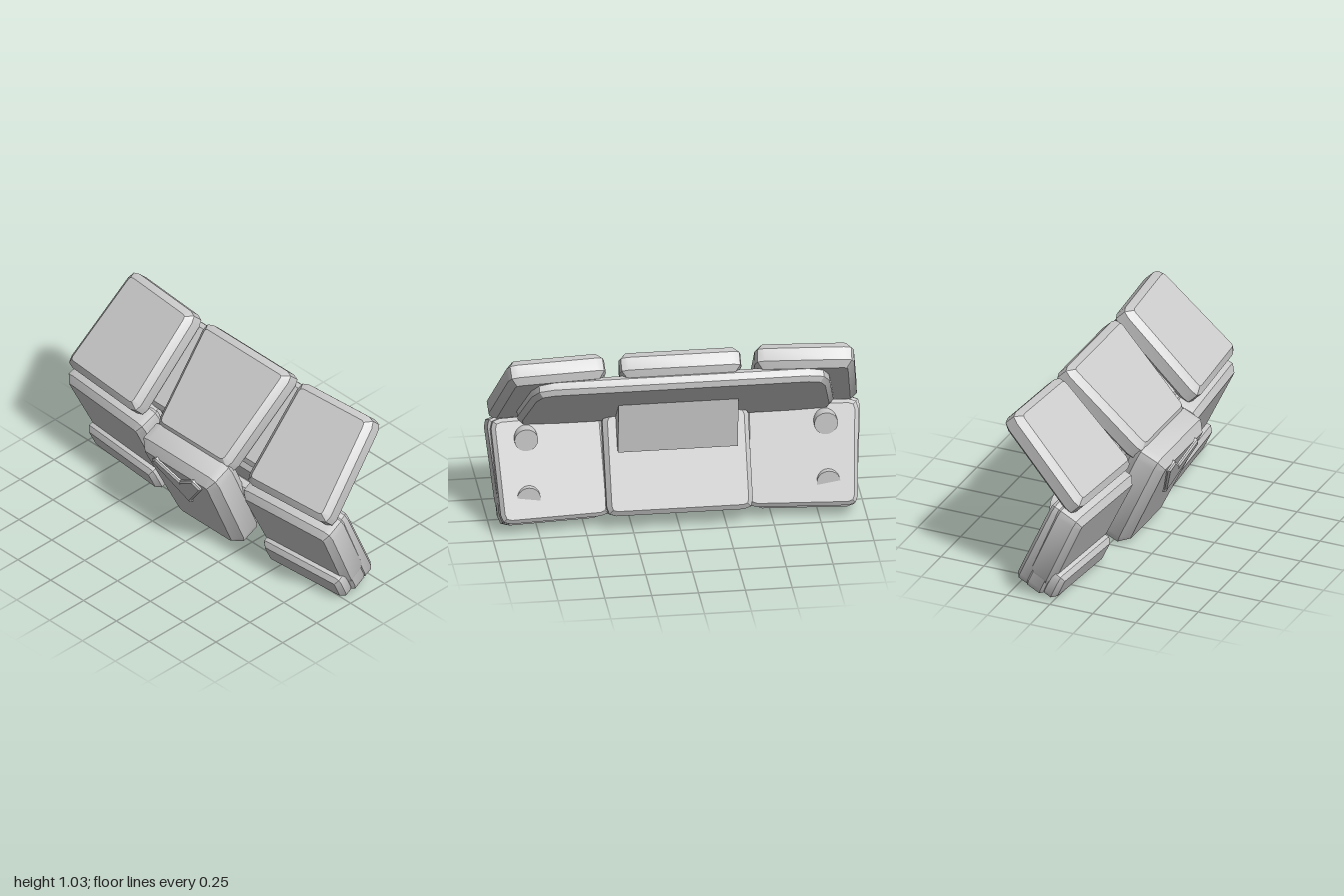
import * as THREE from 'three';
import { toCreasedNormals } from 'three/addons/utils/BufferGeometryUtils.js';

const LOWER_TILT = THREE.MathUtils.degToRad(25);
const UPPER_TILT = THREE.MathUtils.degToRad(-45);
const YAW = 0.075;
const PIVOT = 0.4;

const grey = new THREE.MeshStandardMaterial({ color: 0xcccccc });
grey.name = 'plain grey';

function addMesh(parent, name, geometry) {
  const mesh = new THREE.Mesh(geometry, grey);
  mesh.name = name;
  parent.add(mesh);
  return mesh;
}

// Closed outline with softly clipped corners
function softOutline(points, r) {
  const shape = new THREE.Shape();
  const pts = points.map(([x, y]) => new THREE.Vector2(x, y));
  pts.forEach((p, i) => {
    const prev = pts[(i + pts.length - 1) % pts.length];
    const next = pts[(i + 1) % pts.length];
    const a = p.clone().add(prev.clone().sub(p).setLength(r));
    const b = p.clone().add(next.clone().sub(p).setLength(r));
    if (i === 0) shape.moveTo(a.x, a.y);
    else shape.lineTo(a.x, a.y);
    shape.quadraticCurveTo(p.x, p.y, b.x, b.y);
  });
  shape.closePath();
  return shape;
}

// Chamfered plate lying between depths n0 and n1
function plate(points, n0, n1, bevel, corner = 0.05) {
  const geometry = new THREE.ExtrudeGeometry(softOutline(points, corner), {
    depth: n1 - n0 - 2 * bevel,
    bevelThickness: bevel, bevelSize: bevel, bevelOffset: -bevel,
    bevelSegments: 1, curveSegments: 2,
  });
  geometry.translate(0, 0, n0 + bevel);
  return toCreasedNormals(geometry, 0.5);
}

// Four-sided outline: bottom x range, top x range, height range
const trapezoid = (b0, b1, t0, t1, v0, v1) => [[b0, v0], [b1, v0], [t1, v1], [t0, v1]];
const symmetric = (b, t, v0, v1) => trapezoid(-b, b, -t, t, v0, v1);

function tilted(parent, name, tilt, side = 0) {
  const group = new THREE.Group();
  group.name = name;
  group.rotation.order = 'YXZ';
  group.rotation.set(tilt, side * YAW, 0);
  group.position.x = side * PIVOT;
  parent.add(group);
  return group;
}

export function createModel() {
  const model = new THREE.Group();
  model.name = 'segmentedArmorPlate';

  // Lower centre
  const lower = tilted(model, 'lowerCentre', LOWER_TILT);
  addMesh(lower, 'centreBlock', plate(symmetric(0.24, 0.29, 0.02, 0.655), -0.13, 0.074, 0.048, 0.06));
  addMesh(lower, 'backPlate', plate(symmetric(0.39, 0.39, -0.005, 0.55), -0.284, -0.16, 0.025));
  addMesh(lower, 'connector', plate(symmetric(0.375, 0.375, 0.165, 0.39), -0.18, -0.09, 0.025));

  // Raised V on the centre block, one arm per side
  for (const side of [1, -1]) {
    const arm = [[-0.01, 0.305], [0.19, 0.57], [0.14, 0.62], [-0.01, 0.505]].map(([x, y]) => [side * x, y]);
    addMesh(lower, 'chevronArm', plate(arm, 0.05, 0.092, 0.01, 0.016));
  }

  // Upper centre
  const upper = tilted(model, 'upperCentre', UPPER_TILT);
  addMesh(upper, 'centreUpperPanel', plate(symmetric(0.27, 0.33, 0.28, 0.895), 0.465, 0.606, 0.035));
  addMesh(upper, 'upperBackPlate', plate(symmetric(0.86, 0.78, 0.36, 0.87), 0.395, 0.485, 0.025, 0.1));

  // Strut joining the two back plates
  const strutShape = new THREE.Shape();
  strutShape.moveTo(0.165, 0.73);
  strutShape.lineTo(0.135, 0.43);
  strutShape.lineTo(0.0, 0.5);
  strutShape.lineTo(0.0, 0.63);
  strutShape.closePath();
  const strut = new THREE.ExtrudeGeometry(strutShape, { depth: 0.64, bevelEnabled: false });
  strut.translate(0, 0, -0.32);
  strut.rotateY(Math.PI / 2);
  addMesh(model, 'rearStrut', strut);

  // Side wings
  for (const side of [1, -1]) {
    const label = side > 0 ? 'left' : 'right';
    const outline = (b0, b1, t0, t1, v0, v1) =>
      trapezoid(b0, b1, t0, t1, v0, v1).map(([x, y]) => [side * (x - PIVOT), y]);

    const wing = tilted(model, label + 'LowerWing', LOWER_TILT, side);
    addMesh(wing, 'lowerPanel', plate(outline(0.385, 0.965, 0.36, 0.993, 0.07, 0.573), -0.185, -0.013, 0.035));
    addMesh(wing, 'innerLayer', plate(outline(0.41, 0.96, 0.4, 0.97, -0.008, 0.55), -0.16, -0.03, 0.025));
    addMesh(wing, 'wingBackPlate', plate(outline(0.38, 0.965, 0.38, 0.98, 0.0, 0.563), -0.213, -0.12, 0.02));
    addMesh(wing, 'bottomBar', plate(outline(0.41, 0.95, 0.41, 0.955, 0.016, 0.18), -0.06, 0.035, 0.025, 0.03));

    const top = tilted(model, label + 'UpperWing', UPPER_TILT, side);
    addMesh(top, 'upperPanel', plate(outline(0.4, 0.978, 0.417, 0.94, 0.28, 0.893), 0.475, 0.615, 0.035));

    // Half-buried studs on the rear
    for (const [y, z] of [[0.497, -0.065], [0.205, -0.172]]) {
      const stud = addMesh(model, label + 'RearStud', new THREE.CylinderGeometry(0.063, 0.063, 0.1, 20));
      stud.rotation.x = Math.PI / 2;
      stud.position.set(side * 0.8, y, z + 0.05);
    }
  }
  return model;
}
